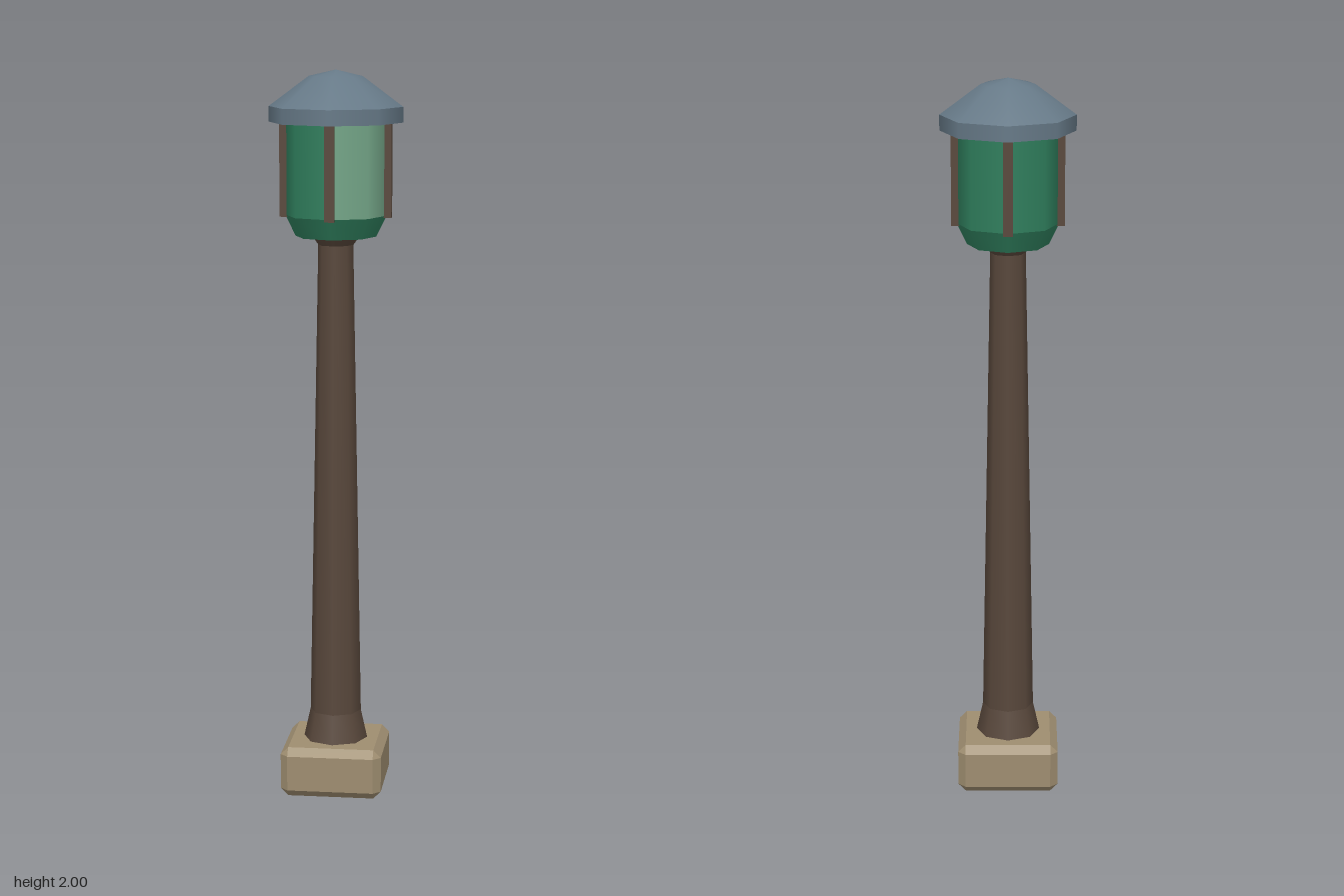
import * as THREE from 'three';
import { ConvexGeometry } from 'three/addons/geometries/ConvexGeometry.js';

const material = (name, color) => {
  const m = new THREE.MeshStandardMaterial({ color });
  m.name = name;
  return m;
};

export function createModel() {
  const stone = material('stone', 0x9e8d70);
  const wood = material('brown wood', 0x58473b);
  const green = material('lantern green', 0x2f7f5d);
  const pane = material('pale green pane', 0x74a688);
  const slate = material('slate blue', 0x667987);

  const model = new THREE.Group();
  model.name = 'lampPost';
  const add = (name, geometry, mat, parent = model) => {
    const mesh = new THREE.Mesh(geometry, mat);
    mesh.name = name;
    parent.add(mesh);
    return mesh;
  };
  // Octagonal turning; profile runs upward on the outside
  const turn = (points, segments = 8, start = 0, length = Math.PI * 2) =>
    new THREE.LatheGeometry(points.map(([r, y]) => new THREE.Vector2(r, y)), segments, start, length);

  // Stone block with chamfered edges
  const half = [0.14, 0.07, 0.14], c = 0.021, corners = [];
  for (const sx of [-1, 1]) for (const sy of [-1, 1]) for (const sz of [-1, 1])
    for (let axis = 0; axis < 3; axis++) {
      const p = half.map((h, i) => (i === axis ? h : h - c));
      corners.push(new THREE.Vector3(sx * p[0], sy * p[1] + 0.07, sz * p[2]));
    }
  add('base', new ConvexGeometry(corners), stone);

  // Tapered post with a flared foot and a small collar
  add('postFoot', turn([[0.09, 0.135], [0.071, 0.22]]), wood);
  add('post', turn([[0.071, 0.22], [0.048, 1.53]]), wood);
  add('collar', turn([[0.048, 1.53], [0.065, 1.553]]), wood);

  // Lantern: three green quarters and one pale quarter
  const lantern = new THREE.Group();
  lantern.name = 'lantern';
  model.add(lantern);
  const wall = [[0.138, 1.61], [0.138, 1.87]];
  add('lanternPane', turn(wall, 2, 0, Math.PI / 2), pane, lantern);
  add('lanternBody', turn(wall, 6, Math.PI / 2, Math.PI * 1.5), green, lantern);
  add('lanternBowl', turn([[0.11, 1.553], [0.138, 1.61]]), green, lantern);
  add('lanternFloor', turn([[0, 1.553], [0.11, 1.553]]), green, lantern);

  // Four upright bars at the corners of the quarters
  for (let i = 0; i < 4; i++) {
    const a = i * Math.PI / 2;
    const bar = add('lanternBar', new THREE.BoxGeometry(0.026, 0.26, 0.026), wood, lantern);
    bar.position.set(Math.sin(a) * 0.139, 1.735, Math.cos(a) * 0.139);
    bar.rotation.y = a;
  }

  // Roof cap with a vertical rim
  const roof = new THREE.Group();
  roof.name = 'roof';
  model.add(roof);
  add('roofUnderside', turn([[0, 1.86], [0.182, 1.86]]), slate, roof);
  add('roofRim', turn([[0.182, 1.86], [0.182, 1.902]]), slate, roof);
  add('roofDome', turn([[0.182, 1.902], [0.073, 1.983], [0, 2]]), slate, roof);

  return model;
}
